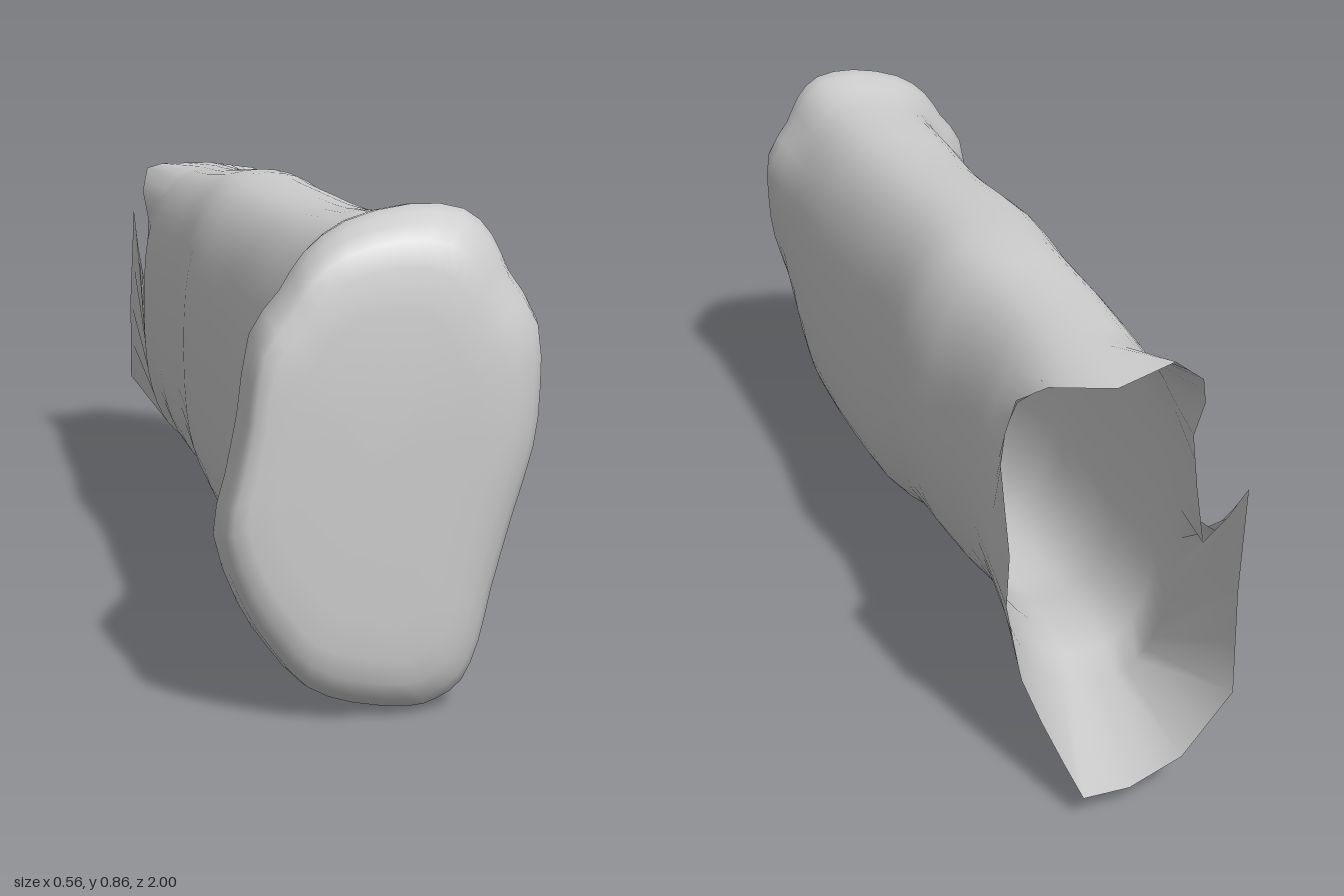
import * as THREE from 'three';

const N = 48; // points round each ring

// Outline of the flared front end, clockwise from the top [x, y]
const head = [
  [.05, .855], [.14, .845], [.19, .80], [.22, .74], [.27, .66], [.275, .55], [.265, .45], [.23, .33],
  [.195, .2], [.175, .11], [.145, .04], [.10, .01], [.05, 0], [-.05, .015], [-.13, .05], [-.19, .12],
  [-.24, .2], [-.28, .32], [-.26, .42], [-.24, .52], [-.22, .65], [-.17, .72], [-.13, .78], [-.06, .83],
];

// Jagged open edge at the back, same order [x, y, z]; the long spike is on the -x wall
const rim = [
  [.05, .765, -.84], [.10, .76, -.81], [.15, .755, -.78], [.2, .73, -.76], [.215, .67, -.75], [.22, .6, -.74],
  [.22, .45, -.79], [.215, .33, -.76], [.2, .2, -.80], [.18, .14, -.85], [.16, .09, -.91], [.14, .045, -.96],
  [.05, .04, -.95], [-.05, .08, -.945], [-.14, .2, -.95], [-.14, .4, -.945], [-.12, .63, -1], [-.12, .54, -.93],
  [-.115, .45, -.85], [-.115, .54, -.815], [-.115, .63, -.79], [-.125, .7, -.81], [-.11, .755, -.83], [-.08, .77, -.78],
];

// Front cap: [z, scale, x shift, y shift] of the head outline
const cap = [
  [1, .001, -.03, .01], [1, .3, -.03, .01], [1, .6, -.03, .01], [.998, .76, -.029, .01], [.99, .86, -.023, .008],
  [.972, .93, -.013, .004], [.945, .975, -.004, 0], [.9, 1, 0, 0],
];

// Shaft: [z, xMin, xMax, yMin, yMax, share of the head outline]
const shaft = [
  [.86, -.255, .272, .003, .85, .9], [.81, -.215, .267, .01, .835, .65], [.76, -.185, .262, .02, .823, .4],
  [.7, -.168, .258, .03, .814, .2], [.6, -.163, .255, .033, .81, .1], [.5, -.16, .25, .034, .803, 0],
  [.4, -.155, .245, .035, .80, 0], [.3, -.152, .24, .038, .80, 0], [.2, -.155, .235, .045, .803, 0],
  [.1, -.163, .23, .062, .806, 0], [0, -.168, .23, .088, .808, 0], [-.1, -.16, .235, .097, .81, 0],
  [-.2, -.151, .238, .099, .808, 0], [-.3, -.153, .222, .092, .798, 0], [-.4, -.155, .205, .1, .788, 0],
  [-.52, -.152, .205, .115, .78, 0], [-.6, -.15, .21, .1, .776, 0], [-.68, -.146, .215, .078, .772, 0],
];

const smoothRing = (pts) => {
  const curve = new THREE.CatmullRomCurve3(pts, true, 'catmullrom', 0.5);
  return Array.from({ length: N }, (_, i) => curve.getPoint(i / N));
};

// The end face leans back towards its top
const capRing = ([z, s, dx, dy]) => smoothRing(head.map(([hx, hy]) => {
  const y = .43 + dy + (hy - .43) * s;
  const lean = z > .92 ? .25 * Math.max(0, y - .5) ** 2 : 0;
  return new THREE.Vector3(hx * s + dx, y, z - lean);
}));

// Rounded section, blended into the head outline; the lower +x corner slants more to the rear
const shaftRing = ([z, x0, x1, y0, y1, blend]) => smoothRing(head.map(([hx, hy], i) => {
  const t = i / head.length * Math.PI * 2, s = Math.sin(t), c = Math.cos(t);
  const lowerRight = THREE.MathUtils.lerp(1.85, 2.6, THREE.MathUtils.smoothstep(z, -.25, .2));
  const p = 2 / (s < 0 ? 2.6 : c > 0 ? 2.4 : lowerRight);
  const bx = Math.sign(s) * Math.abs(s) ** p, by = Math.sign(c) * Math.abs(c) ** p;
  const u = THREE.MathUtils.lerp((bx + 1) / 2, (hx + .28) / .555, blend);
  const v = THREE.MathUtils.lerp((by + 1) / 2, hy / .855, blend);
  return new THREE.Vector3(x0 + (x1 - x0) * u, y0 + (y1 - y0) * v, z);
}));

// Straight segments keep the torn edge sharp
const rimRing = () => rim.flatMap((p, i) => {
  const a = new THREE.Vector3(...p), b = new THREE.Vector3(...rim[(i + 1) % rim.length]);
  return [a, a.clone().lerp(b, .5)];
});

function loft(rings) {
  const index = [];
  for (let j = 0; j < rings.length - 1; j++) {
    for (let i = 0; i < N; i++) {
      const a = j * N + i, b = j * N + (i + 1) % N;
      index.push(a, b, a + N, b, b + N, a + N);
    }
  }
  const geo = new THREE.BufferGeometry().setFromPoints(rings.flat());
  geo.setIndex(index);
  geo.computeVertexNormals();
  return geo;
}

export function createModel() {
  const group = new THREE.Group();
  group.name = 'hollowStump';
  const material = new THREE.MeshStandardMaterial({ color: 0xcccccc, side: THREE.DoubleSide });
  // Closed flared front, tapering shaft and torn open back
  const shell = new THREE.Mesh(loft([...cap.map(capRing), ...shaft.map(shaftRing), rimRing()]), material);
  shell.name = 'shell';
  group.add(shell);
  return group;
}
